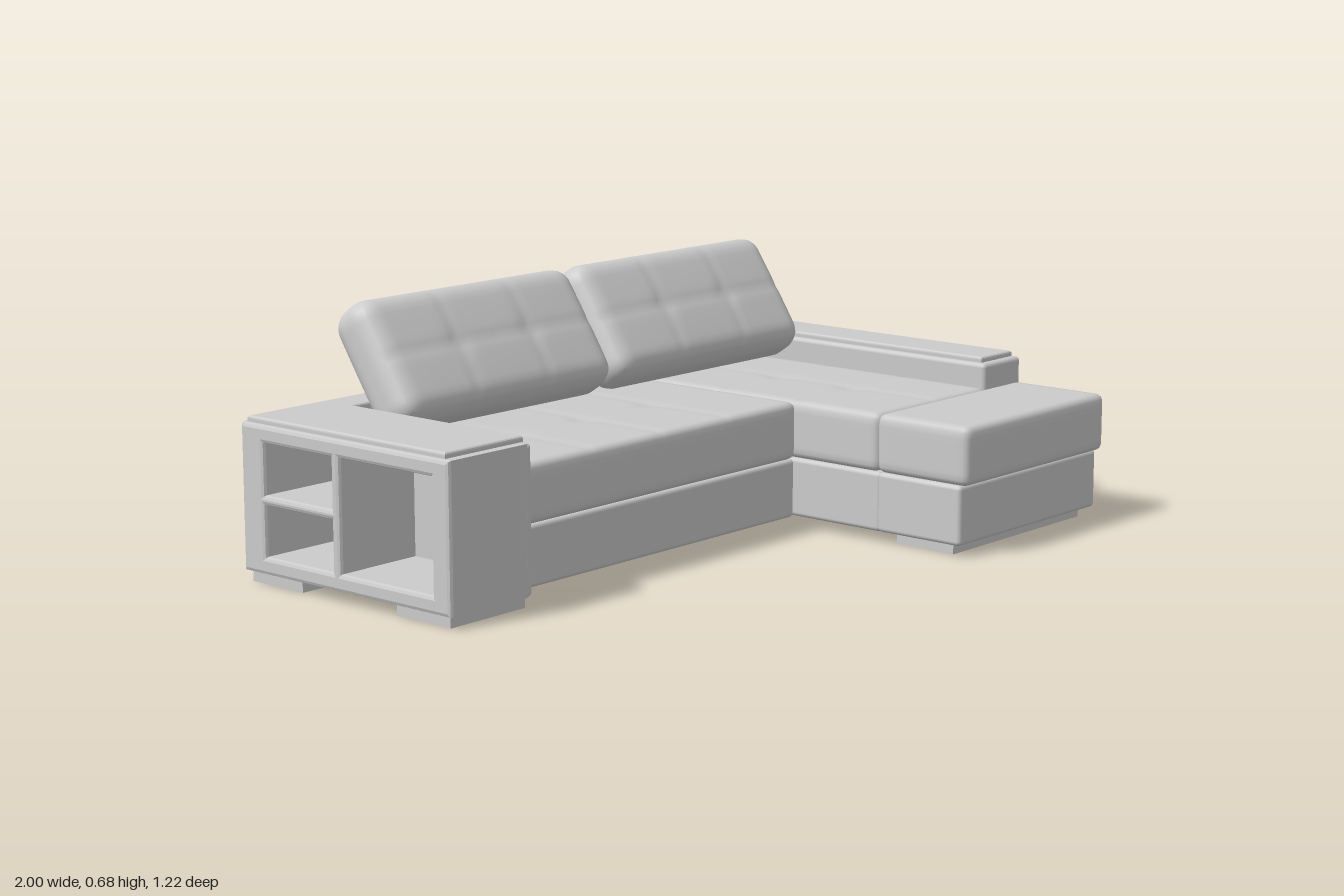
import * as THREE from 'three';
import { mergeVertices } from 'three/addons/utils/BufferGeometryUtils.js';
import { RoundedBoxGeometry } from 'three/addons/geometries/RoundedBoxGeometry.js';

const grey = new THREE.MeshStandardMaterial({ color: 0xcccccc });

function add(group, name, geometry) {
  const mesh = new THREE.Mesh(geometry, grey);
  mesh.name = name;
  group.add(mesh);
  return mesh;
}

// Rounded block given by its limits on each axis
function block(group, name, [x0, x1], [y0, y1], [z0, z1], r = 0.012) {
  const g = new RoundedBoxGeometry(x1 - x0, y1 - y0, z1 - z0, 3, r);
  g.translate((x0 + x1) / 2, (y0 + y1) / 2, (z0 + z1) / 2);
  return add(group, name, g);
}

// Soft cushion: a fine box with rounded edges, slight puff, and stitched
// seams on its upper face (seamsX and seamsZ are measured from its centre)
function cushionGeometry(w, h, d, r, seamsX, seamsZ, puff = 0, bothSides = false) {
  const n = (s) => Math.max(8, Math.ceil(s / 0.016));
  let g = new THREE.BoxGeometry(w, h, d, n(w), n(h), n(d));
  g.deleteAttribute('normal');
  g.deleteAttribute('uv');
  g = mergeVertices(g, 1e-5);
  const inner = new THREE.Vector3(w / 2 - r, h / 2 - r, d / 2 - r);
  const low = inner.clone().negate();
  const p = new THREE.Vector3(), core = new THREE.Vector3();
  const pos = g.attributes.position;
  const groove = (v, list) => list.reduce((m, s) => Math.max(m, Math.exp(-(((v - s) / 0.012) ** 2))), 0);
  const dimple = (v, list) => list.reduce((m, s) => Math.max(m, Math.exp(-(((v - s) / 0.035) ** 2))), 0);
  for (let i = 0; i < pos.count; i++) {
    p.fromBufferAttribute(pos, i);
    const side = Math.abs(p.y) > h / 2 - 1e-4 ? Math.sign(p.y) : 0;
    core.copy(p).clamp(low, inner);
    p.sub(core).normalize().multiplyScalar(r).add(core);
    if (side > 0 || (side && bothSides)) {
      const u = 1 - (2 * p.x / w) ** 2, v = 1 - (2 * p.z / d) ** 2;
      p.y += side * puff * Math.sqrt(Math.max(0, u * v));
    }
    if (side > 0) {
      const fade = Math.min(1, (w / 2 - Math.abs(p.x)) / 0.03, (d / 2 - Math.abs(p.z)) / 0.03);
      p.y -= fade * (0.003 * Math.max(groove(p.x, seamsX), groove(p.z, seamsZ))
        + 0.005 * dimple(p.x, seamsX) * dimple(p.z, seamsZ));
    }
    pos.setXYZ(i, p.x, p.y, p.z);
  }
  g.computeVertexNormals();
  return g;
}

// Seat cushion given by its limits, with seams at world positions
function seatCushion(group, name, [x0, x1], [y0, y1], [z0, z1], seamsX, seamsZ) {
  const cx = (x0 + x1) / 2, cz = (z0 + z1) / 2;
  const g = cushionGeometry(x1 - x0, y1 - y0, z1 - z0, 0.02, seamsX.map((s) => s - cx), seamsZ.map((s) => s - cz));
  add(group, name, g).position.set(cx, (y0 + y1) / 2, cz);
}

function rectangle(target, x0, x1, y0, y1) {
  target.moveTo(x0, y0).lineTo(x1, y0).lineTo(x1, y1).lineTo(x0, y1).closePath();
  return target;
}

export function createModel() {
  const sofa = new THREE.Group();
  sofa.name = 'cornerSofa';

  // Wide arm with open shelves in its outer side
  const shelfArm = rectangle(new THREE.Shape(), -0.61, 0.11, 0.03, 0.405);
  [[-0.53, -0.29, 0.075, 0.205], [-0.53, -0.29, 0.23, 0.36], [-0.262, 0.05, 0.075, 0.36]]
    .forEach((h) => shelfArm.holes.push(rectangle(new THREE.Path(), ...h)));
  const armGeometry = new THREE.ExtrudeGeometry(shelfArm, {
    depth: 0.25, bevelSize: 0.01, bevelThickness: 0.01, bevelOffset: -0.01, bevelSegments: 2,
  });
  armGeometry.rotateY(-Math.PI / 2).translate(-0.74, 0, 0);
  add(sofa, 'shelfArm', armGeometry);
  block(sofa, 'shelfBackPanel', [-0.75, -0.72], [0.03, 0.405], [-0.6, 0.11]);

  // Back and narrow arm
  block(sofa, 'back', [-0.755, 0.99], [0.03, 0.405], [-0.61, -0.5]);
  block(sofa, 'narrowArm', [0.83, 1], [0.03, 0.405], [-0.61, 0.315]);

  // Thin pad running over both arms and the back
  const pad = new THREE.Shape([
    [-0.985, 0.6], [-0.985, -0.085], [-0.725, -0.085], [-0.725, 0.5],
    [0.845, 0.5], [0.845, -0.295], [0.985, -0.295], [0.985, 0.6],
  ].map(([x, y]) => new THREE.Vector2(x, y)));
  const padGeometry = new THREE.ExtrudeGeometry(pad, {
    depth: 0.022, bevelSize: 0.007, bevelThickness: 0.007, bevelOffset: -0.007, bevelSegments: 3,
  });
  padGeometry.rotateX(-Math.PI / 2).translate(0, 0.391, 0);
  add(sofa, 'topPad', padGeometry);

  // Main seat and chaise: bases below, cushions above
  block(sofa, 'seatBase', [-0.715, 0.34], [0.03, 0.188], [-0.52, 0.055]);
  block(sofa, 'chaiseBase', [0.345, 0.835], [0.03, 0.188], [-0.52, 0.335]);
  block(sofa, 'chaiseFrontBase', [0.345, 0.965], [0.03, 0.188], [0.325, 0.59]);
  seatCushion(sofa, 'seatCushion', [-0.712, 0.34], [0.188, 0.342], [-0.52, 0.062], [-0.45, -0.19, 0.07], [-0.21]);
  seatCushion(sofa, 'chaiseCushion', [0.342, 0.83], [0.188, 0.342], [-0.52, 0.328], [0.6], [-0.21, 0.05]);
  seatCushion(sofa, 'chaiseFrontCushion', [0.342, 0.97], [0.188, 0.342], [0.322, 0.612], [], []);

  // Leaning back cushions
  [[-0.725, 0.048], [0.058, 0.832]].forEach(([x0, x1]) => {
    const w = x1 - x0;
    const g = cushionGeometry(w, 0.14, 0.345, 0.055, [-w / 6, w / 6], [0], 0.012, true);
    const cushion = add(sofa, 'backCushion', g);
    cushion.position.set((x0 + x1) / 2, 0.515, -0.448);
    cushion.rotation.x = Math.PI / 2 - 0.59;
  });

  // Low block feet
  [
    [-0.98, -0.73, -0.09, 0.09], [-0.98, -0.73, -0.6, -0.42],
    [0.83, 0.98, 0.12, 0.3], [0.73, 0.98, -0.6, -0.42], [0.375, 0.945, 0.37, 0.55],
  ].forEach(([x0, x1, z0, z1]) => {
    const g = new THREE.BoxGeometry(x1 - x0, 0.035, z1 - z0);
    add(sofa, 'foot', g).position.set((x0 + x1) / 2, 0.0175, (z0 + z1) / 2);
  });

  return sofa;
}
